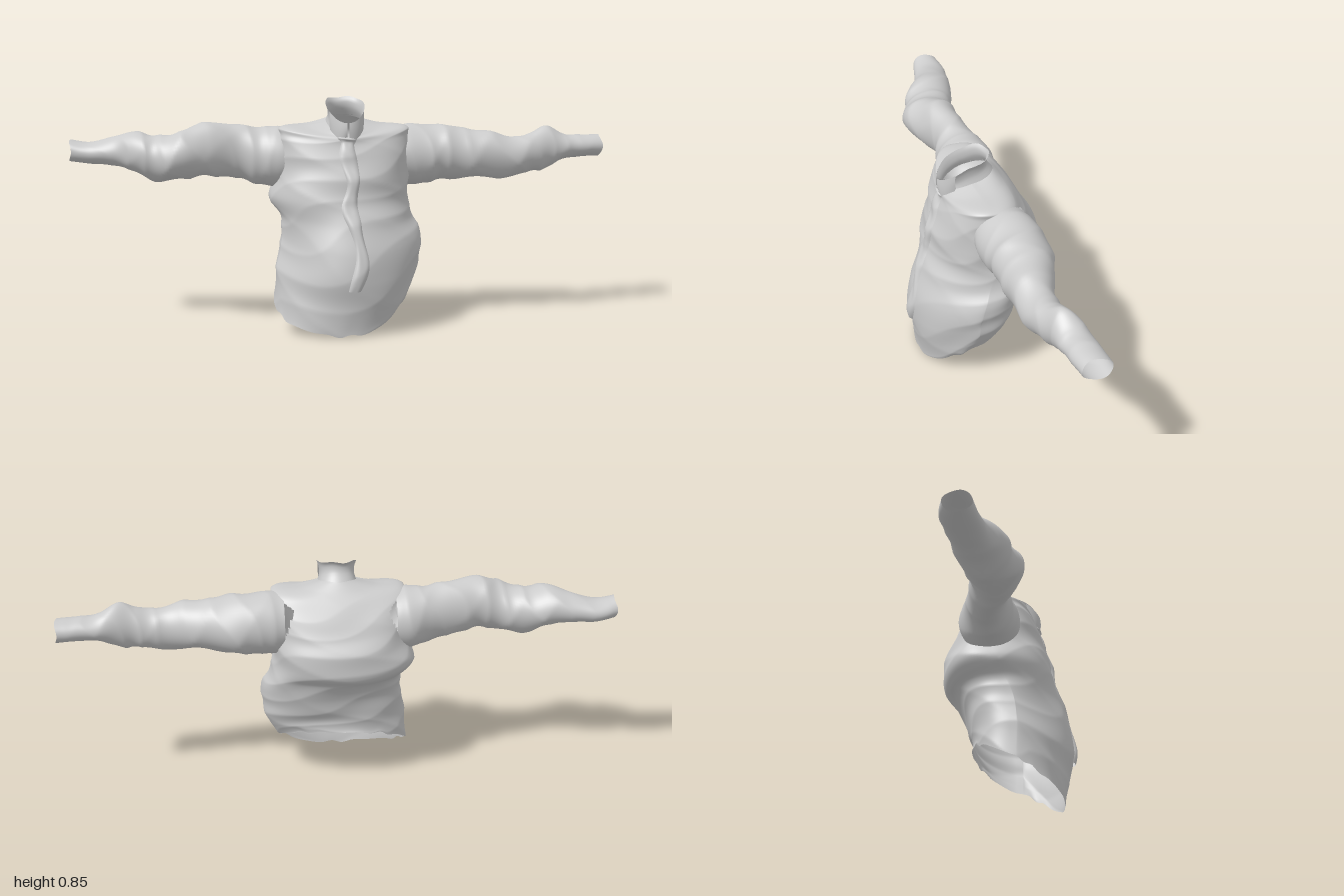
import * as THREE from 'three';

const material = new THREE.MeshStandardMaterial({ color: 0xcccccc, side: THREE.DoubleSide, roughness: 0.9 });

// Smooth interpolation through rows of numbers, t measured in rows
function sample(rows, t) {
  const last = rows.length - 1;
  const i = Math.min(Math.max(Math.floor(t), 0), last - 1), f = t - i;
  return rows[i].map((b, k) => {
    const c = rows[i + 1][k];
    const a = rows[Math.max(i - 1, 0)][k], d = rows[Math.min(i + 2, last)][k];
    return b + 0.5 * f * (c - a + f * (2 * a - 5 * b + 4 * c - d + f * (3 * (b - c) + d - a)));
  });
}

// Surface over a (u, v) grid, optionally closed around u and with a hole rule
function sheet(name, point, nu, nv, closed, isHole) {
  const cols = closed ? nu : nu + 1, pts = [], index = [];
  for (let j = 0; j <= nv; j++)
    for (let i = 0; i < cols; i++) pts.push(point(i / nu, j / nv));
  for (let j = 0; j < nv; j++)
    for (let i = 0; i < nu; i++) {
      const i2 = (i + 1) % cols;
      const a = j * cols + i, b = j * cols + i2, c = b + cols, d = a + cols;
      if (isHole && isHole(pts[a].clone().add(pts[c]).multiplyScalar(0.5))) continue;
      index.push(a, b, c, a, c, d);
    }
  const g = new THREE.BufferGeometry().setFromPoints(pts);
  g.setIndex(index);
  g.computeVertexNormals();
  const mesh = new THREE.Mesh(g, material);
  mesh.name = name;
  return mesh;
}

// Cloth creases: sharp diagonal folds over softer swells, about -1 to 1
const ridge = (a) => 1 - 2 * Math.abs(Math.sin(a));
const crease = (a, s) => 0.35 * ridge(s * 1.3 + a + 0.6 * Math.sin(s))
  + 0.3 * ridge(s * 2.3 - a + 0.9 * Math.sin(a + s))
  + 0.35 * Math.sin(s * 2.1 - 2 * a + 1.2 * Math.sin(a + s));

// Torso rings: y front, y side, y back, x right, x left, z front, z back, front pointedness
const torsoRings = [
  [0.005, 0.125, 0.21, -0.262, 0.22, 0.20, -0.13, 0.95],
  [0.10, 0.19, 0.25, -0.258, 0.25, 0.217, -0.14, 1.25],
  [0.20, 0.27, 0.30, -0.25, 0.275, 0.235, -0.16, 1.5],
  [0.30, 0.35, 0.36, -0.235, 0.283, 0.228, -0.178, 1.5],
  [0.40, 0.42, 0.425, -0.24, 0.258, 0.195, -0.205, 1.25],
  [0.48, 0.49, 0.47, -0.275, 0.238, 0.17, -0.24, 0.95],
  [0.56, 0.57, 0.55, -0.25, 0.243, 0.154, -0.24, 0.75],
  [0.64, 0.65, 0.61, -0.245, 0.243, 0.132, -0.21, 0.7],
  [0.69, 0.715, 0.66, -0.243, 0.243, 0.113, -0.182, 0.7],
  [0.71, 0.748, 0.715, -0.225, 0.225, 0.108, -0.145, 0.8],
  [0.72, 0.754, 0.755, -0.135, 0.135, 0.103, -0.11, 1.0],
  [0.73, 0.765, 0.785, -0.068, 0.068, 0.10, -0.08, 1.0],
];

function ringPoint([yf, ys, yb, xr, xl, zf, zb, point = 1], a, swell = 1) {
  const s = Math.sin(a), c = Math.cos(a);
  const cz = c < 0 ? -Math.pow(-c, 0.7) : Math.pow(c, point); // flat back, keeled belly, square chest
  const y = ys + c * (yf - yb) / 2 + c * c * ((yf + yb) / 2 - ys);
  const mx = (xl + xr) / 2, mz = (zf + zb) / 2;
  return new THREE.Vector3(mx + s * (xl - xr) / 2 * swell, y, mz + cz * (zf - zb) / 2 * swell);
}

function torsoPoint(a, t) {
  const fade = Math.min(1, (11 - t) / 3);
  const p = ringPoint(sample(torsoRings, t), a, 1 + 0.025 * fade * crease(a * 2, t * 1.1));
  const back = Math.max(0, -Math.cos(a)), hem = Math.max(0, 1 - t);
  // Lower back sinks in beneath the overhanging yoke
  if (t < 4.6) p.z += 0.013 * back ** 3 * Math.sin(Math.PI * t / 4.6);
  // Hem hangs lower on the right
  p.y += hem * (0.025 * Math.sin(a) * Math.abs(Math.sin(a)) + 0.005 * Math.sin(a * 9 + 2 * Math.sin(a * 5)));
  return p;
}

// Sleeve sections: distance from centre, y low, y high, z low, z high
const leftSleeve = [
  [0.20, 0.53, 0.742, -0.165, 0.048],
  [0.25, 0.52, 0.748, -0.178, 0.05],
  [0.32, 0.525, 0.745, -0.185, 0.043],
  [0.40, 0.535, 0.74, -0.185, 0.035],
  [0.51, 0.545, 0.725, -0.145, 0.03],
  [0.64, 0.545, 0.70, -0.115, 0.02],
  [0.72, 0.56, 0.71, -0.12, 0.0],
  [0.79, 0.575, 0.73, -0.135, -0.02],
  [0.86, 0.605, 0.70, -0.15, -0.035],
  [0.93, 0.612, 0.695, -0.158, -0.045],
  [1.00, 0.612, 0.695, -0.165, -0.058],
];
const rightSleeve = [
  [0.20, 0.53, 0.74, -0.162, 0.048],
  [0.25, 0.52, 0.745, -0.17, 0.052],
  [0.32, 0.535, 0.745, -0.145, 0.035],
  [0.40, 0.555, 0.755, -0.125, 0.02],
  [0.50, 0.565, 0.765, -0.11, 0.05],
  [0.59, 0.56, 0.74, -0.11, 0.085],
  [0.68, 0.55, 0.715, -0.135, 0.065],
  [0.76, 0.58, 0.735, -0.15, 0.03],
  [0.84, 0.605, 0.71, -0.165, -0.02],
  [0.93, 0.61, 0.69, -0.175, -0.045],
  [1.00, 0.62, 0.70, -0.16, -0.06],
];

function sleeve(name, rows, side) {
  return sheet(name, (u, v) => {
    const [x, y0, y1, z0, z1] = sample(rows, v * (rows.length - 1));
    const a = u * Math.PI * 2;
    const swell = 1 + 0.09 * Math.sin(Math.PI * v) * crease(a, v * 13 + side);
    return new THREE.Vector3(
      side * (x - 0.004 * v * (1 + Math.sin(a * 3))),
      (y0 + y1) / 2 + Math.cos(a) * (y1 - y0) / 2 * swell,
      (z0 + z1) / 2 + side * Math.sin(a) * (z1 - z0) / 2 * swell);
  }, 48, 110, true);
}

// Standing collar, flared at the rim
const collarRings = [
  [0.725, 0.76, 0.78, -0.07, 0.07, 0.10, -0.085],
  [0.74, 0.785, 0.81, -0.062, 0.062, 0.10, -0.064],
  [0.755, 0.81, 0.835, -0.064, 0.064, 0.107, -0.06],
  [0.768, 0.828, 0.85, -0.07, 0.07, 0.118, -0.07],
];

export function createModel() {
  const shirt = new THREE.Group();
  shirt.name = 'shirt';

  // Body, left open at neck, hem and armholes
  const armhole = (p) => Math.abs(p.x) > 0.13 &&
    ((p.y - 0.635) / 0.102) ** 2 + ((p.z + 0.06) / 0.102) ** 2 < 1;
  shirt.add(sheet('torso', (u, v) => torsoPoint(u * Math.PI * 2, v * 11), 128, 130, true, armhole));

  shirt.add(sleeve('leftSleeve', leftSleeve, 1), sleeve('rightSleeve', rightSleeve, -1));

  shirt.add(sheet('collarStand', (u, v) => {
    const p = ringPoint(sample(collarRings, v * 3), u * Math.PI * 2);
    p.y += 0.003 * v * Math.sin(u * Math.PI * 10);
    return p;
  }, 48, 10, true));

  // Turned-down collar points, hanging from the rim on either side of the opening
  for (const side of [-1, 1]) {
    shirt.add(sheet(side > 0 ? 'leftCollarPoint' : 'rightCollarPoint', (u, v) => {
      const k = side > 0 ? u : 1 - u;
      const rim = ringPoint(collarRings[3], side * (0.05 + 1.05 * k));
      const drop = 0.03 + 0.06 * Math.sin(Math.PI * Math.min(1, 0.12 + k * 0.75));
      rim.y -= drop * (1 - v);
      rim.z += 0.004 * Math.sin(Math.PI * v) - 0.004 * (1 - v) * (1 - k);
      return rim;
    }, 12, 8, false));
  }

  // Button band: a low, slightly wavering strip down the chest
  shirt.add(sheet('placket', (u, v) => {
    const across = u * 2 - 1;
    const centre = 0.07 * Math.sin(v * 4) + 0.03 * Math.sin(v * 17) - 0.03 * v;
    const width = 0.09 + 0.05 * v + 0.02 * Math.sin(v * 23);
    const p = torsoPoint(centre + across * width, 1.75 + v * 8.4);
    p.z += 0.011 * (1 - across ** 4) - 0.002 + 0.004 * Math.sin(v * 30 + across) * (1 - across * across);
    return p;
  }, 12, 70, false));

  return shirt;
}
